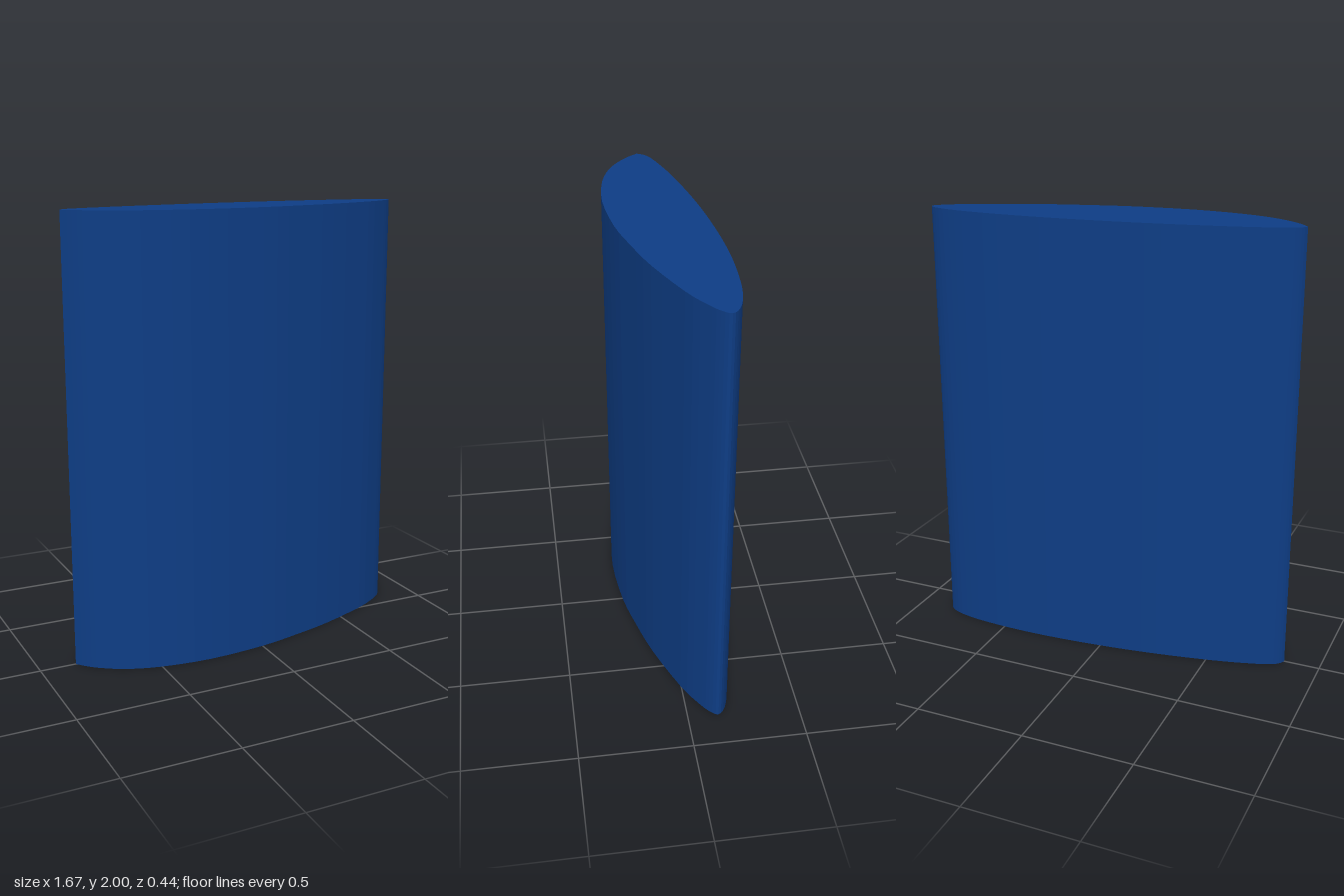
import * as THREE from 'three';

// Cross-section as [x, z], from the sharp edge along the front and back again
const profile = [
  [-0.837, 0], [-0.8, 0.045], [-0.745, 0.093], [-0.65, 0.15], [-0.5, 0.196], [-0.27, 0.219],
  [0, 0.197], [0.2, 0.153], [0.4, 0.097], [0.64, 0.003], [0.75, -0.057], [0.81, -0.1],
  [0.836, -0.138], [0.8, -0.172], [0.72, -0.197], [0.6, -0.214], [0.4, -0.223], [0.2, -0.218],
  [0, -0.203], [-0.2, -0.18], [-0.4, -0.148], [-0.6, -0.107], [-0.77, -0.058], [-0.82, -0.027],
  [-0.837, 0],
];

export function createModel() {
  const model = new THREE.Group();
  model.name = 'foilColumn';

  // Smooth outline through the profile, extruded upwards
  const outline = new THREE.SplineCurve(profile.map(([x, z]) => new THREE.Vector2(x, -z)));
  const points = outline.getPoints(72).slice(0, -1);
  const geometry = new THREE.ExtrudeGeometry(new THREE.Shape(points), {
    depth: 2, bevelEnabled: false,
  });
  geometry.rotateX(-Math.PI / 2);

  const body = new THREE.Mesh(
    geometry,
    new THREE.MeshStandardMaterial({ color: 0x0e3d85 }),
  );
  body.name = 'foilBody';
  model.add(body);
  return model;
}
